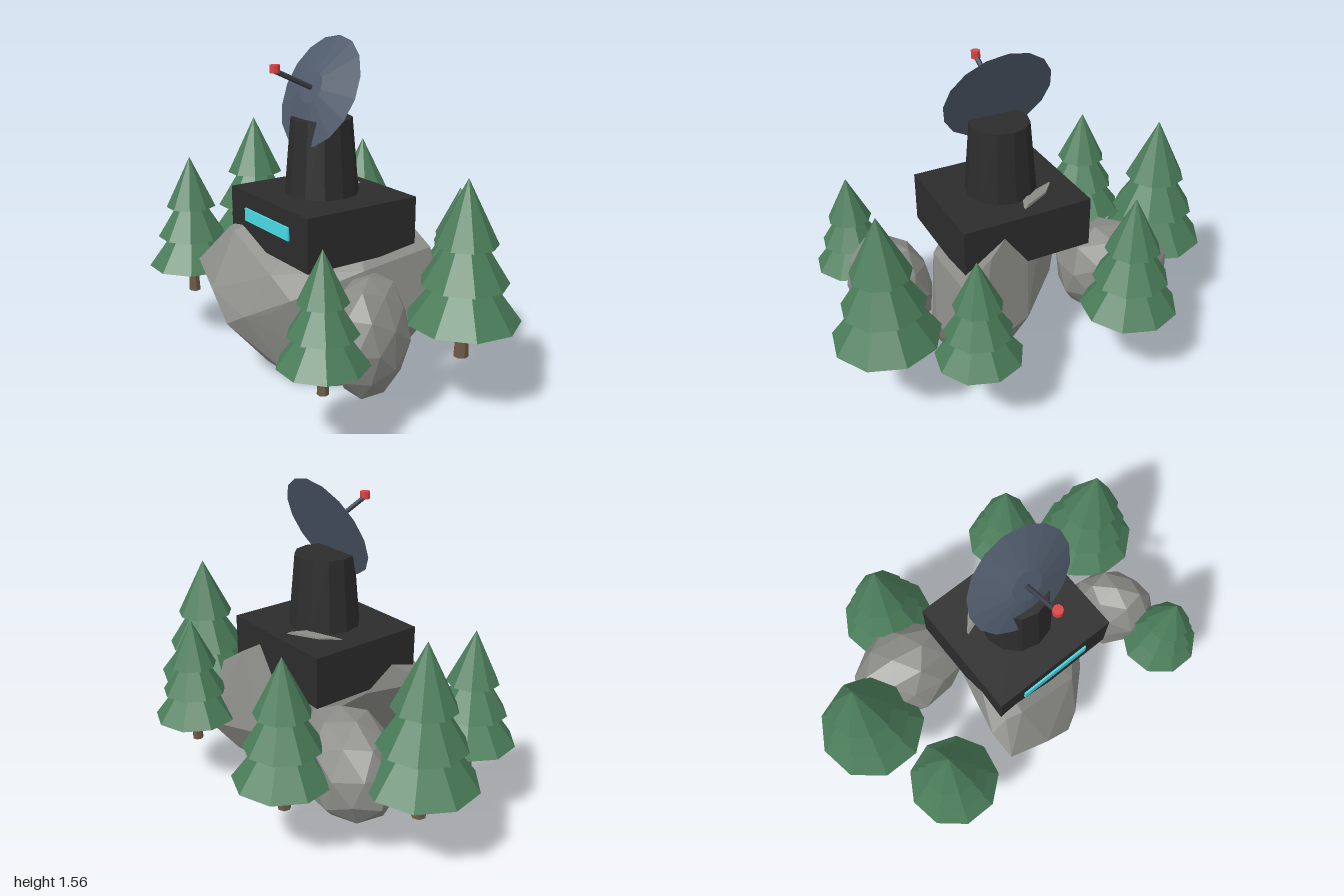
import * as THREE from 'three';
import { ConvexGeometry } from 'three/addons/geometries/ConvexGeometry.js';

export function createModel() {
  const model = new THREE.Group();
  const mat = (name, color) => {
    const m = new THREE.MeshStandardMaterial({ color, flatShading: true });
    m.name = name;
    return m;
  };
  const rock = mat('rockGrey', 0x8a8a86);
  const foliage = mat('foliageGreen', 0x4a7c59);
  const bark = mat('barkBrown', 0x6e5a46);
  const dark = mat('charcoal', 0x2c2c2c);
  const glass = mat('windowCyan', 0x48dae6);
  const steel = mat('dishBlueGrey', 0x505b6c);
  const rodMat = mat('rodGrey', 0x3a3f4a);
  const red = mat('beaconRed', 0xdc4444);

  const add = (parent, name, geo, material, x = 0, y = 0, z = 0) => {
    const mesh = new THREE.Mesh(geo, material);
    mesh.name = name;
    mesh.position.set(x, y, z);
    parent.add(mesh);
    return mesh;
  };

  // Main boulder: a leaning faceted hull
  const hull = [
    // upper front and left
    [-0.33, 0.59, 0.40], [-0.32, 0.51, 0.53], [-0.25, 0.665, 0.40], [-0.17, 0.67, 0.42],
    [-0.12, 0.43, 0.57], [0.10, 0.36, 0.53], [0.02, 0.31, 0.575], [0.15, 0.55, 0.42],
    // lower front
    [-0.24, 0.38, 0.49], [-0.17, 0.27, 0.42], [-0.10, 0.24, 0.50], [0.00, 0.14, 0.42],
    [0.10, 0.11, 0.41], [0.20, 0.08, 0.37], [0.30, 0.20, 0.30], [0.18, 0.38, 0.45],
    // foot
    [0.16, 0, 0.22], [0.30, 0, 0.18], [0.36, 0, 0.02], [0.20, 0.01, -0.06],
    // right end and back
    [0.475, 0.17, 0.02], [0.49, 0.30, -0.10], [0.47, 0.42, -0.29], [0.40, 0.32, -0.38],
    [0.33, 0.16, -0.26], [0.42, 0.62, -0.27], [0.27, 0.72, -0.25], [0.41, 0.58, 0.10],
    [0.25, 0.45, 0.38], [0.10, 0.35, -0.28], [0.12, 0.13, -0.15],
    // left flank and crest
    [-0.26, 0.60, 0.08], [-0.10, 0.45, -0.12], [0.00, 0.20, 0.02],
    [-0.16, 0.866, 0], [-0.10, 0.868, -0.07], [0.03, 0.872, -0.14], [0.00, 0.872, -0.07],
  ].map((p) => new THREE.Vector3(...p));
  add(model, 'mainBoulder', new ConvexGeometry(hull), rock);

  // Side boulders: slightly uneven low-poly ellipsoids
  const boulder = (name, centre, radii, ry, rz, seed) => {
    const geo = new THREE.IcosahedronGeometry(1, 1);
    const pos = geo.attributes.position;
    const v = new THREE.Vector3();
    for (let i = 0; i < pos.count; i++) {
      v.fromBufferAttribute(pos, i);
      const n = Math.sin(v.x * 5.1 + seed) * Math.sin(v.y * 4.3 + seed * 2) * Math.cos(v.z * 4.7 + seed);
      v.multiplyScalar(1 + 0.09 * n);
      pos.setXYZ(i, v.x, v.y, v.z);
    }
    geo.scale(...radii);
    geo.computeVertexNormals();
    add(model, name, geo, rock, ...centre).rotation.set(0, ry, rz);
  };
  boulder('rightSideBoulder', [-0.43, 0.4, -0.163], [0.29, 0.245, 0.213], -0.2, 0.25, 1);
  boulder('leftSideBoulder', [0.6, 0.38, 0.222], [0.22, 0.27, 0.17], -0.87, 0, 2);

  // Bunker with a window strip and tapered tower
  add(model, 'bunker', new THREE.BoxGeometry(0.64, 0.245, 0.585), dark, 0.06, 0.737, 0.083);
  add(model, 'window', new THREE.BoxGeometry(0.365, 0.06, 0.009), glass, 0.058, 0.755, 0.381);
  add(model, 'tower', new THREE.CylinderGeometry(0.14, 0.17, 0.345, 12), dark, 0.06, 1.032, 0.083);

  // Tilted dish with feed rod and beacon
  const dish = new THREE.Group();
  dish.name = 'dishAssembly';
  dish.position.set(0.06, 1.321, 0.095);
  dish.rotation.x = THREE.MathUtils.degToRad(65);
  model.add(dish);
  add(dish, 'dish', new THREE.CylinderGeometry(0.075, 0.265, 0.05, 16), steel, 0, 0.025, 0);
  add(dish, 'feedRod', new THREE.CylinderGeometry(0.012, 0.012, 0.22, 6), rodMat, 0, 0.145, 0);
  add(model, 'beacon', new THREE.CylinderGeometry(0.023, 0.023, 0.035, 8), red, 0.06, 1.437, 0.324);

  // Conifers: x, z and overall height; all trunks start at the same level
  const tiers = [
    // base height, radius, cone height, as fractions of tree height
    [0.217, 0.314, 0.42],
    [0.43, 0.242, 0.385],
    [0.645, 0.175, 0.355],
  ];
  const trees = [
    [-0.34, -0.455, 0.73], [0.425, -0.438, 0.635], [0.752, -0.167, 0.793],
    [0.684, 0.509, 0.605], [-0.593, 0.428, 0.7], [-0.747, -0.032, 0.825],
  ];
  trees.forEach(([x, z, h]) => {
    const tree = new THREE.Group();
    tree.name = 'conifer';
    tree.position.set(x, 0.24, z);
    tree.rotation.y = Math.PI;
    tree.scale.setScalar(h);
    model.add(tree);
    add(tree, 'trunk', new THREE.CylinderGeometry(0.028, 0.042, 0.26, 7), bark, 0, 0.13, 0);
    tiers.forEach(([base, r, ch]) => {
      add(tree, 'foliageTier', new THREE.ConeGeometry(r, ch, 9), foliage, 0, base + ch / 2, 0);
    });
  });

  return model;
}
